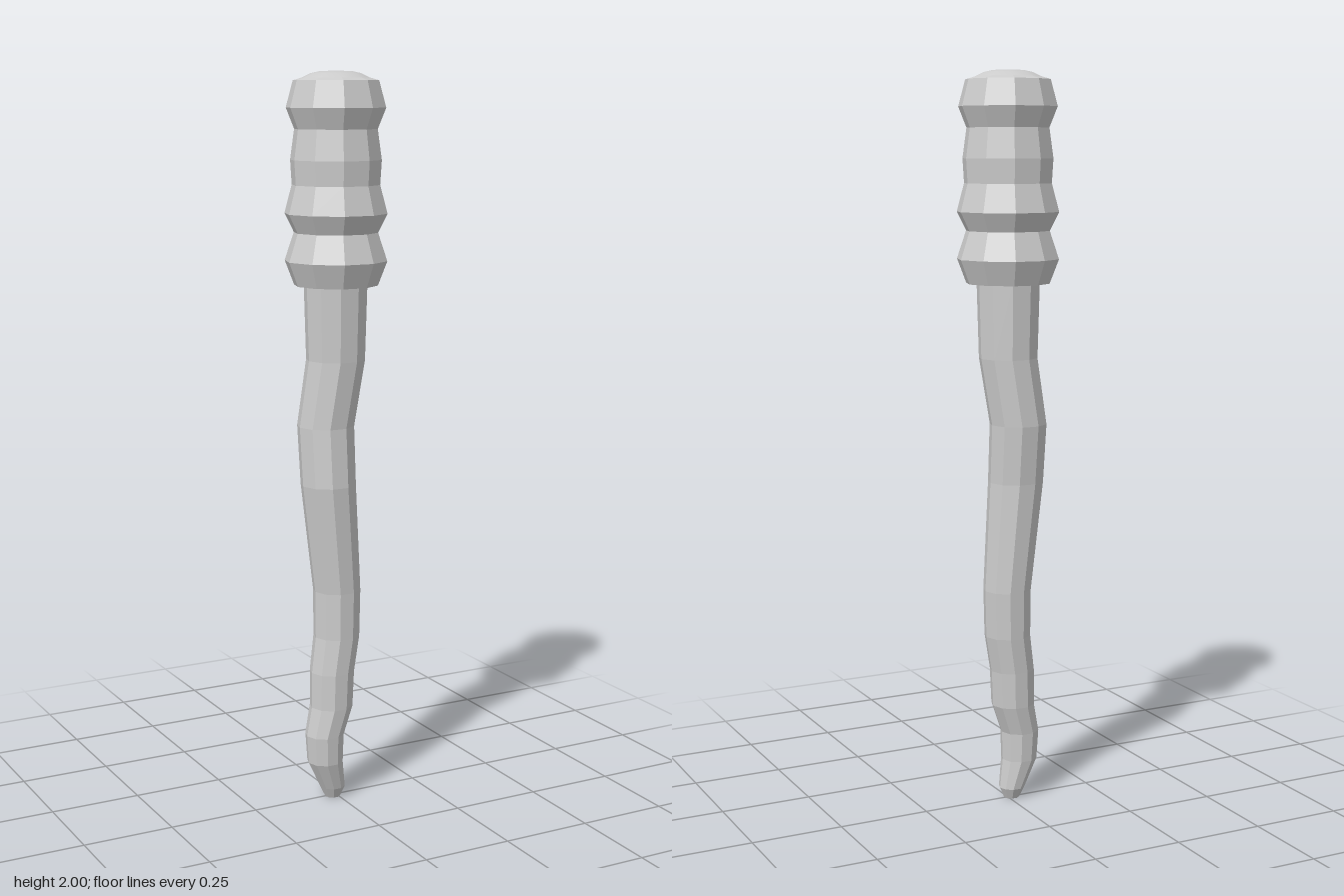
import * as THREE from 'three';

const SIDES = 10;

// Faceted skin through rings [y, radius, centreX, centreZ], listed bottom to top; ends closed
function ringBody(rings, capTop = true) {
  const pos = [], idx = [];
  for (const [y, r, cx = 0, cz = 0] of rings) {
    for (let i = 0; i < SIDES; i++) {
      const a = (i / SIDES) * Math.PI * 2;
      pos.push(cx + r * Math.cos(a), y, cz + r * Math.sin(a));
    }
  }
  for (let k = 0; k < rings.length - 1; k++) {
    for (let i = 0; i < SIDES; i++) {
      const a = k * SIDES + i, b = k * SIDES + (i + 1) % SIDES;
      idx.push(a, a + SIDES, b, b, a + SIDES, b + SIDES);
    }
  }
  const top = (rings.length - 1) * SIDES;
  for (let i = 1; i < SIDES - 1; i++) {
    idx.push(0, i, i + 1);
    if (capTop) idx.push(top, top + i + 1, top + i);
  }
  const g = new THREE.BufferGeometry();
  g.setAttribute('position', new THREE.Float32BufferAttribute(pos, 3));
  g.setIndex(idx);
  g.computeVertexNormals();
  return g;
}

export function createModel() {
  const group = new THREE.Group();
  const flat = new THREE.MeshStandardMaterial({ color: 0xcccccc, flatShading: true });
  const smooth = new THREE.MeshStandardMaterial({ color: 0xcccccc });
  const add = (name, geometry, material) => {
    const mesh = new THREE.Mesh(geometry, material);
    mesh.name = name;
    group.add(mesh);
  };

  // Ribbed grip
  add('handle', ringBody([
    [1.44, 0.113], [1.505, 0.138], [1.58, 0.113], [1.63, 0.138], [1.705, 0.118],
    [1.77, 0.122], [1.85, 0.111], [1.905, 0.133], [1.975, 0.114], [1.982, 0.09],
  ], false), flat);

  // Shallow rounded pommel; the lathe is turned so its corners meet the grip
  const dome = [[0.09, 1.982], [0.067, 1.993], [0.045, 1.998], [0, 2]]
    .map(([r, y]) => new THREE.Vector2(r, y));
  add('pommelCap', new THREE.LatheGeometry(dome, SIDES, Math.PI / 2), smooth);

  // Crooked tapering shaft
  add('shaft', ringBody([
    [0, 0.022, -0.012, 0.002],
    [0.03, 0.036, -0.013, 0.002],
    [0.11, 0.05, -0.038, 0.007],
    [0.19, 0.054, -0.04, 0.008],
    [0.27, 0.06, -0.018, 0.006],
    [0.37, 0.062, -0.015, 0.005],
    [0.47, 0.064, 0, 0.003],
    [0.6, 0.066, 0.002, 0.001],
    [0.9, 0.076, -0.025, 0.003],
    [1.06, 0.078, -0.026, -0.01],
    [1.24, 0.08, -0.001, 0],
    [1.45, 0.086, -0.002, 0.002],
  ]), flat);

  return group;
}
